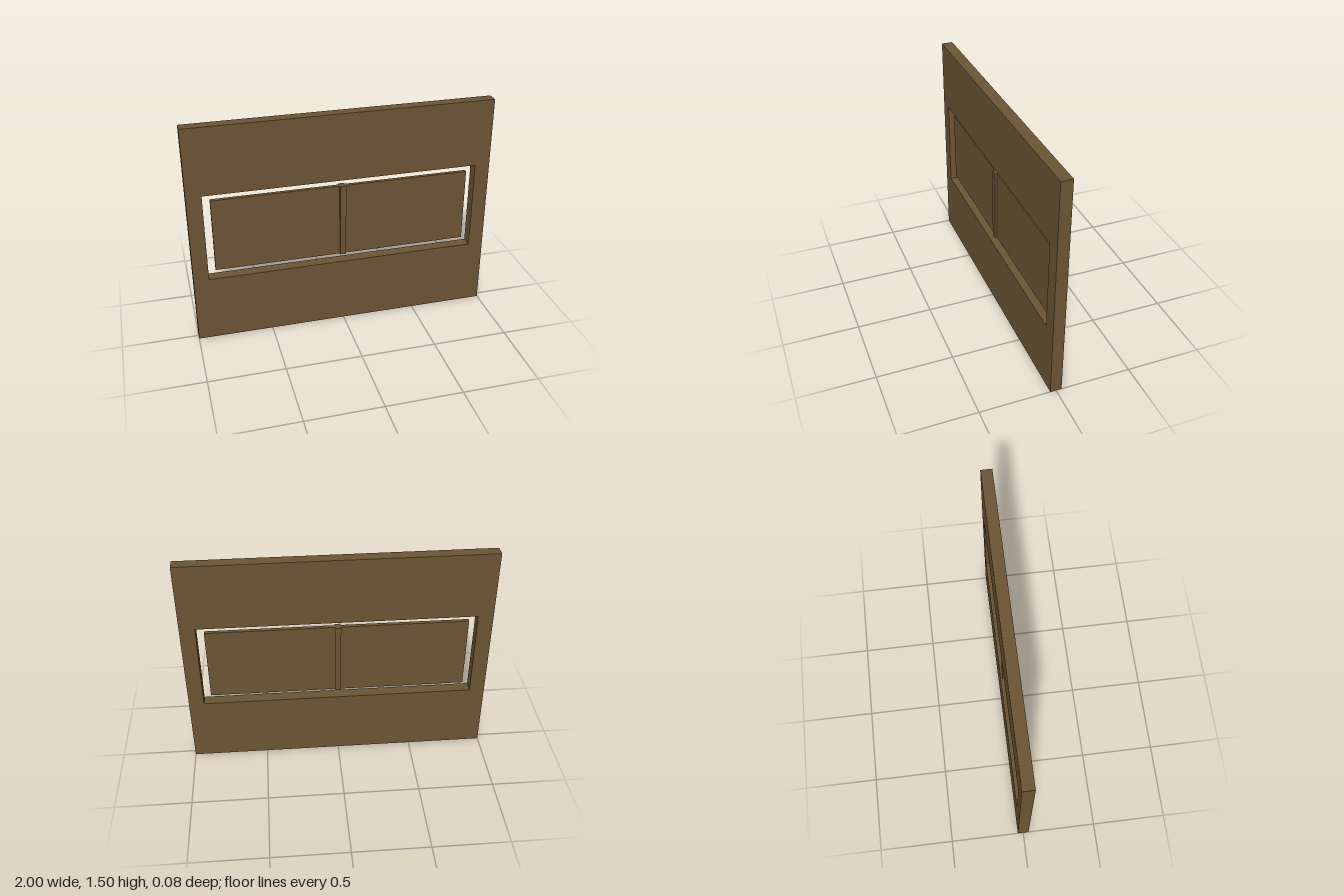
import * as THREE from 'three';

export function createModel() {
  const group = new THREE.Group();
  const wood = new THREE.MeshStandardMaterial({ color: 0x6b5434 });
  wood.name = 'brown wood';

  const add = (name, geometry, x, y, z) => {
    const mesh = new THREE.Mesh(geometry, wood);
    mesh.name = name;
    mesh.position.set(x, y, z);
    group.add(mesh);
  };

  // Wall slab with a rectangular opening cut right through
  const depth = 0.075;
  const wall = new THREE.Shape([[-1, 0], [1, 0], [1, 1.5], [-1, 1.5]].map(p => new THREE.Vector2(...p)));
  wall.holes.push(new THREE.Path([[-0.9, 0.45], [-0.9, 1.05], [0.9, 1.05], [0.9, 0.45]].map(p => new THREE.Vector2(...p))));
  add('wall', new THREE.ExtrudeGeometry(wall, { depth, bevelEnabled: false }), 0, 0, -depth / 2);

  // Thin pane floating inside the opening
  add('pane', new THREE.BoxGeometry(1.7, 0.5, 0.025), 0, 0.75, 0);

  // Central upright standing proud of the pane on both faces
  add('mullion', new THREE.BoxGeometry(0.04, 0.5, 0.055), 0, 0.75, 0);

  return group;
}
